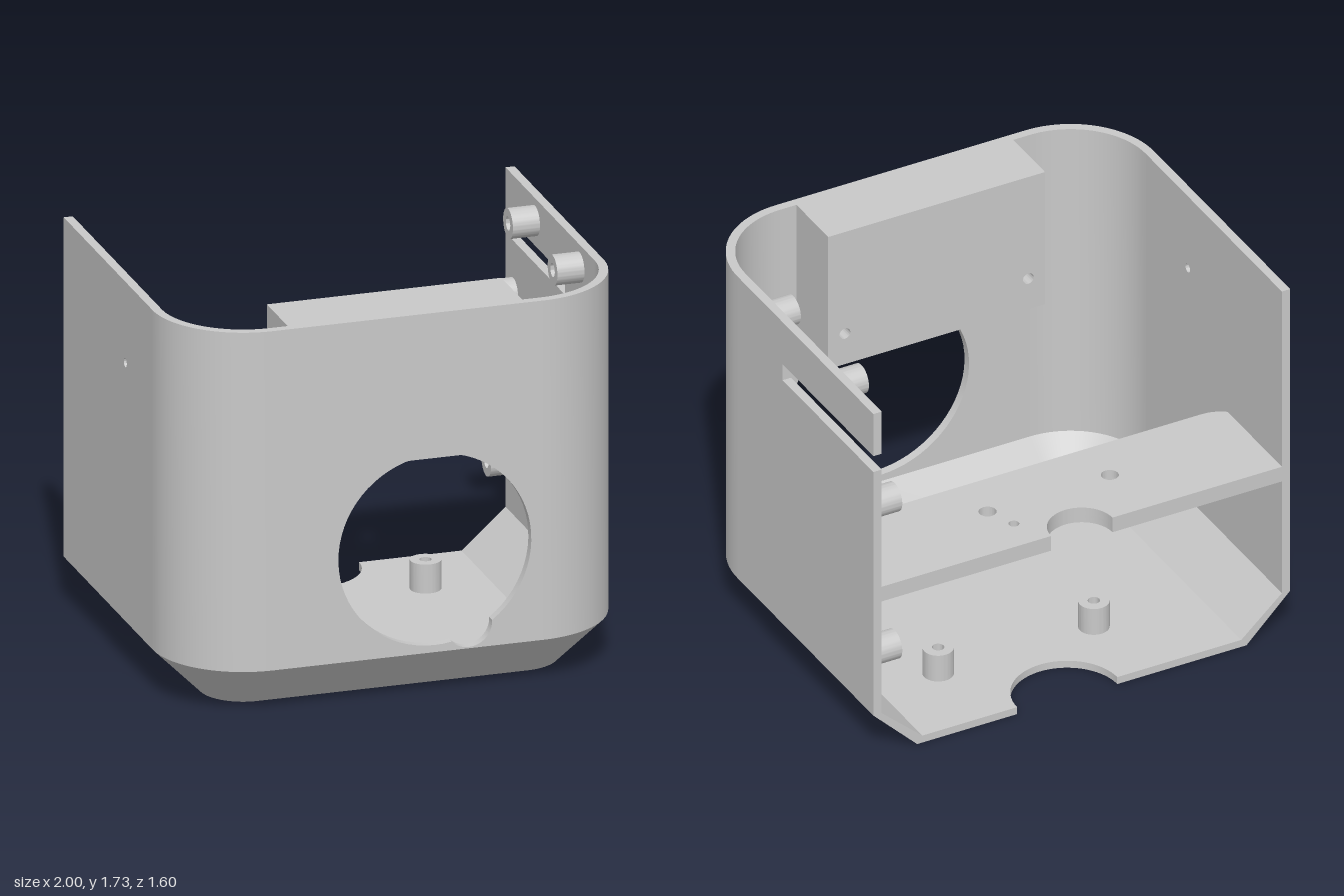
import * as THREE from 'three';
import { toCreasedNormals } from 'three/addons/utils/BufferGeometryUtils.js';

const H = 1.733, T = 0.04, BACK = -0.8, RIM = 0.21, FLOOR = 0.035;

// U-shaped plan outline (open at the back), moved inward by an inset
function outline(inset, seg = 24) {
  const r = 0.4 - inset, pts = [[1 - inset, BACK]];
  for (const [cx, a0] of [[0.6, 0], [-0.6, Math.PI / 2]])
    for (let i = 0; i <= seg; i++) {
      const a = a0 + (i / seg) * Math.PI / 2;
      pts.push([cx + r * Math.cos(a), 0.4 + r * Math.sin(a)]);
    }
  pts.push([inset - 1, BACK]);
  return pts;
}

// Sweep a four-point [inset, y] profile (inner top, inner bottom, outer bottom, outer top) along the outline
function sweep(profile, from, to) {
  const rings = profile.map(([inset, y]) => outline(inset).slice(from, to).map(([x, z]) => [x, y, z]));
  const n = rings[0].length, pos = [];
  const quad = (a, b, c, d) => pos.push(...a, ...b, ...c, ...a, ...c, ...d);
  for (let k = 0; k < 4; k++) {
    const p = rings[k], q = rings[(k + 1) % 4];
    for (let i = 0; i < n - 1; i++) quad(p[i], q[i], q[i + 1], p[i + 1]);
  }
  const [a, b, c, d] = rings;
  quad(d[0], c[0], b[0], a[0]);
  quad(a[n - 1], b[n - 1], c[n - 1], d[n - 1]);
  const g = new THREE.BufferGeometry();
  g.setAttribute('position', new THREE.Float32BufferAttribute(pos, 3));
  return toCreasedNormals(g, 0.5);
}

const polygon = (pts) => new THREE.Shape(pts.map(([x, y]) => new THREE.Vector2(x, y)));
const rect = (x0, y0, x1, y1) => polygon([[x0, y0], [x1, y0], [x1, y1], [x0, y1]]);
function drill(shape, x, y, r) {
  shape.holes.push(new THREE.Path().absarc(x, y, r, 0, Math.PI * 2, true));
  return shape;
}
function extrude(shape, depth) {
  const g = new THREE.ExtrudeGeometry(shape, { depth, bevelEnabled: false, curveSegments: 32 });
  return toCreasedNormals(g, 0.5);
}
// Horizontal plate from an x-z shape
const plate = (shape, y, h) => extrude(shape, h).rotateX(Math.PI / 2).translate(0, y + h, 0);
// Upright side panel from a z-y shape, with its +x face at x
const panel = (shape, x) => extrude(shape, T).rotateY(-Math.PI / 2).translate(x, 0, 0);
const ring = (r, hole) => drill(new THREE.Shape().absarc(0, 0, r, 0, Math.PI * 2, false), 0, 0, hole);

export function createModel() {
  const group = new THREE.Group();
  const grey = new THREE.MeshStandardMaterial({ color: 0xc9c9c9 });
  grey.name = 'plain grey';
  const add = (name, geometry) => {
    const m = new THREE.Mesh(geometry, grey);
    m.name = name;
    group.add(m);
  };

  // Sloped skirt and rounded front corners
  add('skirt', sweep([[T, RIM], [0.235, FLOOR], [RIM, 0], [0, RIM]], 0, 52));
  const wallProfile = [[T, H], [T, RIM], [0, RIM], [0, H]];
  add('leftCorner', sweep(wallProfile, 1, 26));
  add('rightCorner', sweep(wallProfile, 26, 51));

  // Side walls: slot open to the back on the left, small hole on the right
  add('leftWall', panel(polygon([
    [BACK, RIM], [0.4, RIM], [0.4, H], [BACK, H], [BACK, 1.52], [0, 1.52], [0, 1.44], [BACK, 1.44],
  ]), 1));
  add('rightWall', panel(drill(rect(BACK, RIM, 0.4, H), 0.03, 1.37, 0.02), -1 + T));

  // Front wall with a large round opening that has a small lobe
  const front = rect(-0.6, RIM, 0.6, H);
  const R = 0.428, r = 0.104, cx = 0.12, cy = 0.67, lx = 0.27, ly = 0.32;
  const d = Math.hypot(lx - cx, ly - cy), t = Math.atan2(ly - cy, lx - cx);
  const a = Math.acos((R * R + d * d - r * r) / (2 * R * d));
  const b = Math.acos((R * R - d * d - r * r) / (2 * d * r));
  const opening = new THREE.Path();
  opening.absarc(cx, cy, R, t + a, t - a + Math.PI * 2, false);
  opening.absarc(lx, ly, r, t - b, t + b, false);
  front.holes.push(opening);
  add('frontWall', extrude(front, T).translate(0, 0, 0.8 - T));

  // Floor with a round notch at the back and screw holes
  const floor = polygon(outline(RIM));
  floor.lineTo(-0.17, BACK);
  floor.absarc(0.07, BACK, 0.24, Math.PI, 0, true);
  const posts = [0.477, -0.27], postZ = -0.41;
  posts.forEach((x) => drill(floor, x, postZ, 0.045));
  add('floor', plate(floor, 0, FLOOR));
  posts.forEach((x) => add('floorPost',
    plate(ring(0.067, 0.026), FLOOR, 0.13).translate(x, 0, postZ)));

  // Shelf in two layers, so the screw holes are wider underneath
  const shelf = (holeRadius) => {
    const s = new THREE.Shape();
    s.moveTo(0.147, BACK);
    s.lineTo(0.97, BACK);
    s.lineTo(0.97, -0.33);
    s.quadraticCurveTo(0.92, -0.285, 0.85, -0.285);
    s.lineTo(-0.85, -0.285);
    s.quadraticCurveTo(-0.92, -0.285, -0.97, -0.33);
    s.lineTo(-0.97, BACK);
    s.lineTo(-0.147, BACK);
    s.absarc(0, BACK, 0.147, Math.PI, 0, true);
    for (const x of [-0.293, 0.293]) drill(s, x, -0.508, holeRadius);
    return drill(s, 0.24, -0.642, 0.023);
  };
  add('shelfTop', plate(shelf(0.038), 0.811, 0.037));
  add('shelfUnderside', plate(shelf(0.065), 0.774, 0.037));

  // Block behind the front wall with blind screw holes
  const block = () => rect(-0.52, 1.066, 0.52, H);
  const face = block();
  for (const x of [-0.44, 0.44]) drill(face, x, 1.22, 0.026);
  add('frontBlockFace', extrude(face, 0.12).translate(0, 0, 0.48));
  add('frontBlock', extrude(block(), 0.16).translate(0, 0, 0.6));

  // Hollow pegs on the inside of the left wall
  for (const [y, z] of [[1.633, 0.199], [1.633, -0.401], [1.207, -0.695], [0.464, -0.695]])
    add('wallPeg', extrude(ring(0.066, 0.03), 0.13).rotateY(Math.PI / 2).translate(0.84, y, z));

  return group;
}
